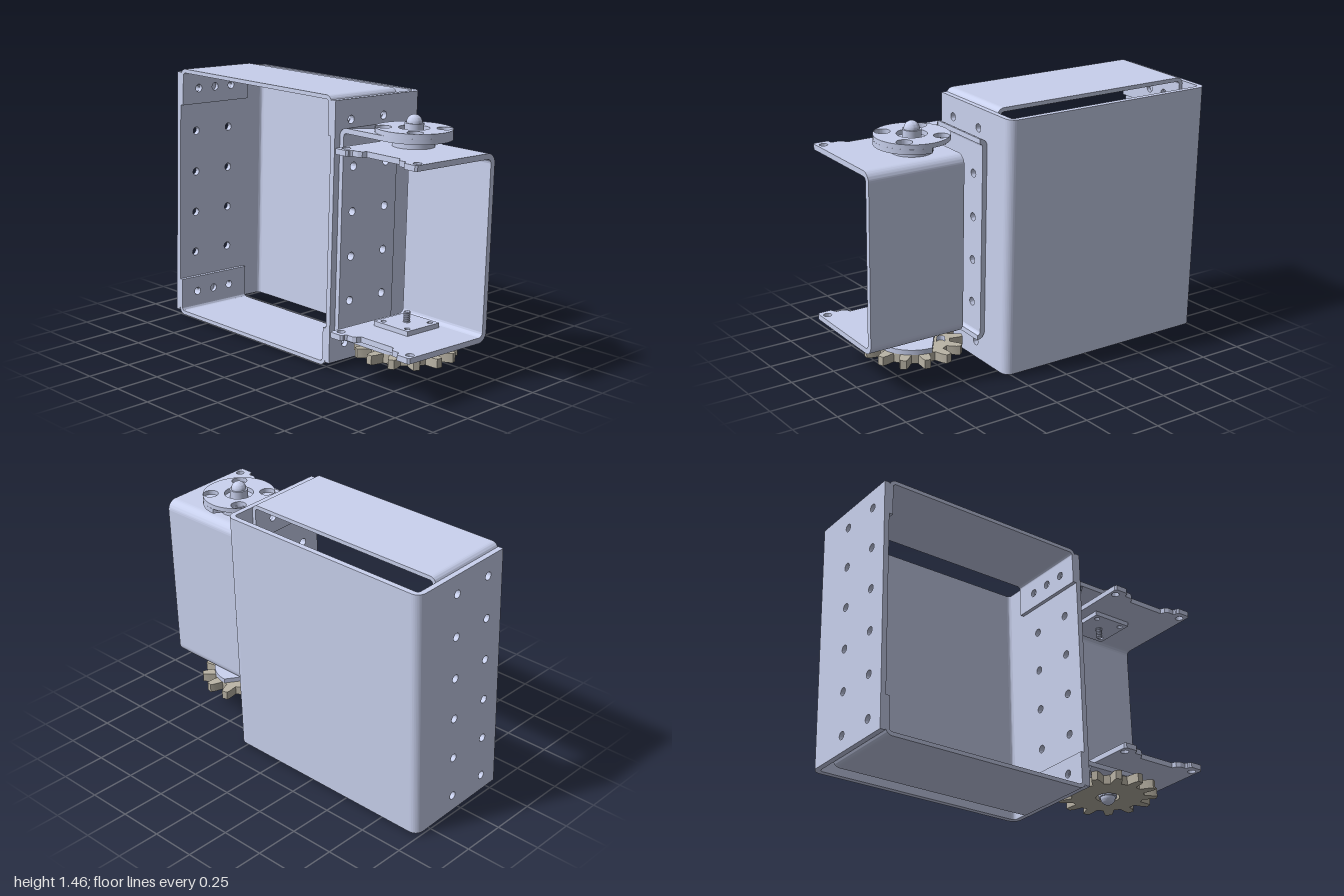
import * as THREE from 'three';
import { toCreasedNormals } from 'three/addons/utils/BufferGeometryUtils.js';

const metal = new THREE.MeshStandardMaterial({ color: 0xc9d1ee });
const gearMetal = new THREE.MeshStandardMaterial({ color: 0xbab4a6 });
const Q = Math.PI / 2;
const AXIS = [0.63, 0.019]; // hinge axis (x, z)

const rect = (a0, b0, a1, b1) => new THREE.Shape([[a0, b0], [a1, b0], [a1, b1], [a0, b1]].map(p => new THREE.Vector2(...p)));

function drill(shape, holes, r) {
  for (const [a, b] of holes) shape.holes.push(new THREE.Path().absarc(a, b, r, 0, Math.PI * 2, true));
  return shape;
}

// Extrude a flat shape. Axis z: (x, y) grows to +z from `at`;
// axis y: (x, z) hangs down from `at`; axis x: (z, y) grows to -x from `at`.
function sheet(parent, name, shape, axis, at, depth, material = metal) {
  let g = new THREE.ExtrudeGeometry(shape, { depth, bevelEnabled: false, curveSegments: 20 });
  if (axis === 'y') g.rotateX(Q).translate(0, at, 0);
  else if (axis === 'x') g.rotateY(-Q).translate(at, 0, 0);
  else g.translate(0, 0, at);
  g = toCreasedNormals(g, 0.5);
  const m = new THREE.Mesh(g, material);
  m.name = name;
  parent.add(m);
  return m;
}

// Quarter-ring cross-section of a sheet bend
function bend(cx, cy, r, t, start) {
  const s = new THREE.Shape();
  s.absarc(cx, cy, r, start, start + Q, false);
  s.absarc(cx, cy, r - t, start + Q, start, true);
  return s;
}

function lathe(parent, name, pts) {
  const g = new THREE.LatheGeometry(pts.map(p => new THREE.Vector2(...p)), 32);
  const m = new THREE.Mesh(toCreasedNormals(g, 0.5), metal);
  m.name = name;
  parent.add(m);
}

const tube = (r0, r1, y0, y1) => [[r0, y0], [r1, y0], [r1, y1], [r0, y1], [r0, y0]];

function group(parent, name) {
  const g = new THREE.Group();
  g.name = name;
  parent.add(g);
  return g;
}

// Wide U bracket: back panel and two drilled sides
function buildHousing(parent) {
  const g = group(parent, 'housingBracket');
  const H = 0.703, r = 0.05, t = 0.03, zb = -0.386, zf = 0.256;
  sheet(g, 'backPanel', rect(-1 + r, -H, 0.3 - r, H), 'z', zb, t);
  const holes = [];
  for (let i = 0; i < 6; i++) for (const s of [-1, 1]) holes.push([0.022 + s * 0.12, -0.61 + i * 0.241]);
  for (const [x, cx, start] of [[-1 + t, -1 + r, Math.PI], [0.3, 0.3 - r, -Q]]) {
    sheet(g, 'sidePanel', drill(rect(zb + r, -H, zf, H), holes, 0.022), 'x', x, t);
    sheet(g, 'sideBend', bend(cx, zb + r, r, t, start), 'y', H, 2 * H);
  }
}

// Shallow channel closing the housing at its top or bottom
function buildCap(parent, name, turn) {
  const g = group(parent, name);
  g.position.x = -0.35;
  g.rotation.z = turn;
  const W = 0.62, top = 0.724, end = 0.515, r = 0.04, t = 0.022, z0 = -0.225, z1 = 0.256;
  sheet(g, 'capPlate', rect(-W + r, z0, W - r, z1), 'y', top, t);
  const holes = [-0.098, 0.022, 0.142].map(z => [z, 0.605]);
  for (const s of [-1, 1]) {
    sheet(g, 'capTab', drill(rect(z0, end, z1, top - r), holes, 0.022), 'x', s > 0 ? W : -W + t, t);
    sheet(g, 'capBend', bend(s * (W - r), top - r, r, t, s > 0 ? 0 : Q), 'z', z0, z1 - z0);
  }
}

// Bracket on the housing side, with two round-ended arms
function buildHingeBracket(parent) {
  const g = group(parent, 'hingeBracket');
  const [ax, az] = AXIS, H = 0.5625, r = 0.045, t = 0.0275, x0 = 0.3, w = 0.2;
  const holes = [];
  for (let i = 1; i < 5; i++) for (const s of [-1, 1]) holes.push([0.022 + s * 0.12, -0.61 + i * 0.241]);
  sheet(g, 'mountPlate', drill(rect(az - w, -H + r, az + w, H - r), holes, 0.022), 'x', x0 + t, t);
  for (const s of [-1, 1]) {
    const arm = new THREE.Shape();
    arm.moveTo(x0 + r, az - w);
    arm.absarc(ax, az, w, -Q, Q, false);
    arm.lineTo(x0 + r, az + w);
    drill(arm, [AXIS], 0.05);
    drill(arm, [[-1, -1], [-1, 1], [1, -1], [1, 1]].map(([a, b]) => [ax + a * 0.11, az + b * 0.11]), 0.022);
    sheet(g, 'hingeArm', arm, 'y', s > 0 ? H : -H + t, t);
    sheet(g, 'hingeBend', bend(x0 + r, s * (H - r), r, t, s > 0 ? Q : Math.PI), 'z', az - w, 2 * w);
  }
}

// Swinging U bracket with notched ear plates
function buildSwingBracket(parent) {
  const g = group(parent, 'swingBracket');
  const H = 0.494, r = 0.055, t = 0.03, x0 = 0.44, x1 = 1, zb = -0.183, zf = 0.393;
  sheet(g, 'swingBack', rect(x0, -H + r, x1, H - r), 'z', zb, t);
  const half = [[0.28, zb + r], [0.28, zf - 0.01], [0.27, zf], [0.2, zf], [0.19, zf - 0.01],
    [0.19, 0.372], [0.18, 0.362], [0.145, 0.362], [0.125, 0.35], [0.115, 0.327]];
  const xc = (x0 + x1) / 2;
  const outline = [...half.map(([x, z]) => [xc + x, z]), ...half.map(([x, z]) => [xc - x, z]).reverse()];
  for (const s of [-1, 1]) {
    const arm = new THREE.Shape(outline.map(p => new THREE.Vector2(...p)));
    drill(arm, [[x0 + 0.037, 0.345], [x1 - 0.037, 0.345]], 0.022);
    sheet(g, 'swingArm', arm, 'y', s > 0 ? H : -H + t, t);
    // bend section is drawn in (z, y)
    sheet(g, 'swingBend', bend(zb + r, s * (H - r), r, t, s > 0 ? Q : Math.PI), 'x', x1, x1 - x0);
  }
}

// Screw, spacer and backing plate of one pivot, about its own axis
function buildPivot(parent, name, spacerRadius) {
  const g = group(parent, name);
  const corners = [[-1, -1], [-1, 1], [1, -1], [1, 1]];
  sheet(g, 'backingPlate', drill(rect(-0.12, -0.12, 0.12, 0.12), corners.map(([a, b]) => [a * 0.085, b * 0.085]), 0.015), 'y', 0.464, 0.026);
  lathe(g, 'spacer', tube(0.04, spacerRadius, 0.494, 0.535));
  lathe(g, 'collar', tube(0.03, 0.05, 0.494, 0.613));
  const head = [[0, 0.38], [0.014, 0.38], [0.014, 0.6], [0.041, 0.6]];
  for (let i = 0; i <= 8; i++) head.push([0.041 * Math.cos(i * Q / 8), 0.615 + 0.041 * Math.sin(i * Q / 8)]);
  lathe(g, 'screw', head);
  for (let i = 0; i < 6; i++) {
    const ring = new THREE.Mesh(new THREE.TorusGeometry(0.015, 0.004, 6, 20), metal);
    ring.name = 'screwThread';
    ring.rotation.x = Q + 0.1;
    ring.position.y = 0.385 + i * 0.0105;
    g.add(ring);
  }
  g.position.set(AXIS[0], 0, AXIS[1]);
  return g;
}

// Round horn with counterbored holes, on the upper arm
function buildHorn(parent) {
  const g = group(parent, 'horn');
  g.position.set(AXIS[0], 0, AXIS[1]);
  const disc = new THREE.Shape().absarc(0, 0, 0.2, 0, Math.PI * 2, false);
  drill(disc, [[0, 0]], 0.08);
  drill(disc, [[-1, -1], [-1, 1], [1, -1], [1, 1]].map(([a, b]) => [a * 0.11, b * 0.11]), 0.042);
  sheet(g, 'hornDisc', disc, 'y', 0.5875, 0.025);
}

// Thirteen-tooth gear under the lower arm
function buildGear(parent) {
  const n = 13, pts = [];
  for (let i = 0; i < n; i++) {
    const mid = Q + i * 2 * Math.PI / n;
    for (const [da, r] of [[-0.15, 0.2], [-0.12, 0.225], [-0.095, 0.25], [-0.06, 0.272], [0.06, 0.272], [0.095, 0.25], [0.12, 0.225], [0.15, 0.2]])
      pts.push(new THREE.Vector2(r * Math.cos(mid + da), r * Math.sin(mid + da)));
  }
  const gear = sheet(parent, 'gear', drill(new THREE.Shape(pts), [[0, 0]], 0.065), 'y', -0.5625, 0.05, gearMetal);
  gear.position.set(AXIS[0], 0, AXIS[1]);
}

export function createModel() {
  const root = new THREE.Group();
  root.name = 'hingedBracketAssembly';
  // The whole assembly leans back slightly
  const body = group(root, 'assembly');
  body.position.y = 0.7315;
  body.rotation.x = -0.035;
  buildHousing(body);
  buildCap(body, 'topCap', 0);
  buildCap(body, 'bottomCap', Math.PI);
  buildHingeBracket(body);
  buildSwingBracket(body);
  buildPivot(body, 'upperPivot', 0.11);
  buildPivot(body, 'lowerPivot', 0.075).rotation.x = Math.PI;
  buildHorn(body);
  buildGear(body);
  return root;
}
